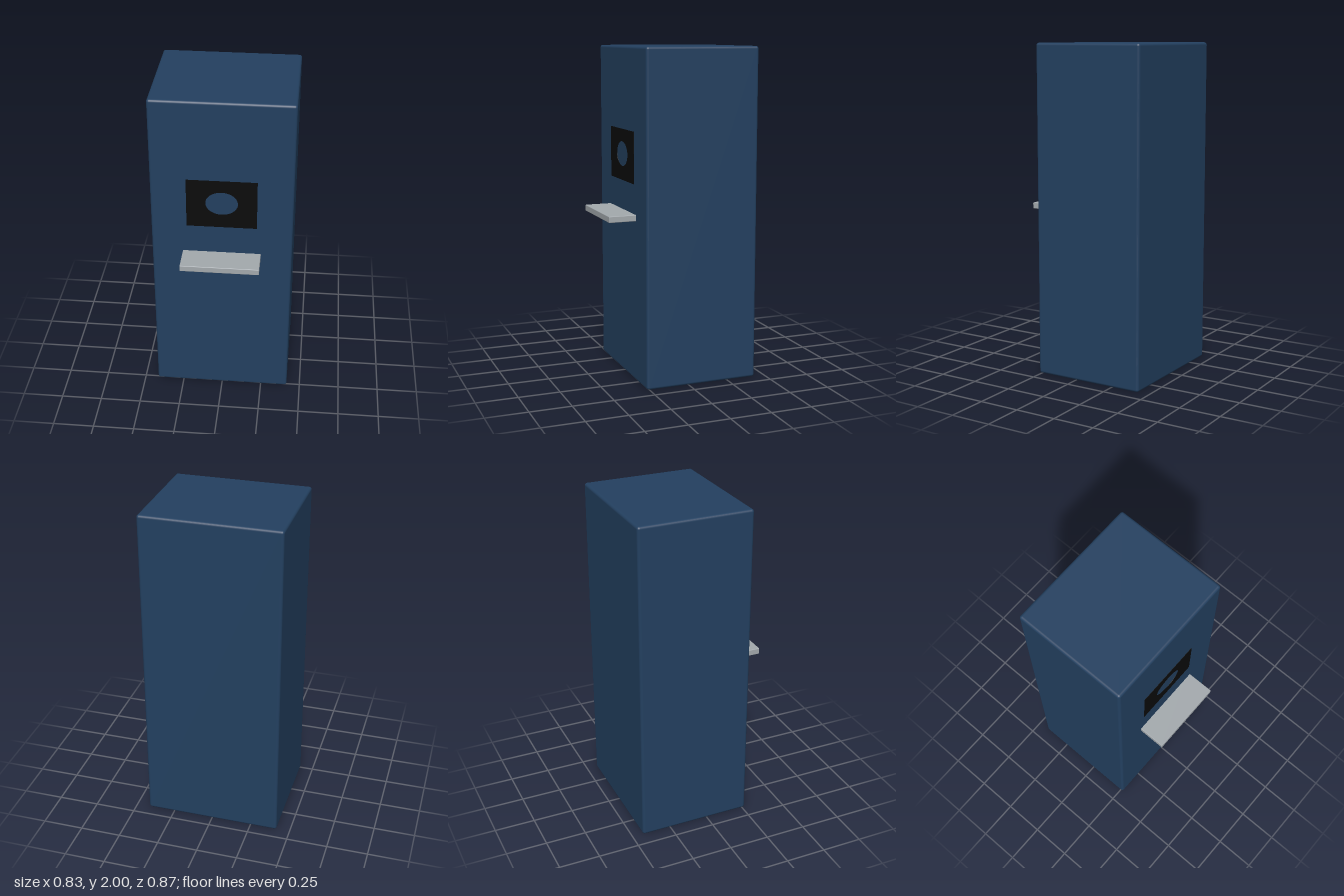
import * as THREE from 'three';
import { RoundedBoxGeometry } from 'three/addons/geometries/RoundedBoxGeometry.js';

function material(name, color) {
  const m = new THREE.MeshStandardMaterial({ color });
  m.name = name;
  return m;
}

export function createModel() {
  const group = new THREE.Group();
  group.name = 'kiosk';
  const navy = material('navy', 0x234060);
  const black = material('black', 0x0b0b0b);
  const grey = material('light grey', 0xa3a9ad);

  const add = (name, geometry, mat, x, y, z) => {
    const mesh = new THREE.Mesh(geometry, mat);
    mesh.name = name;
    mesh.position.set(x, y, z);
    group.add(mesh);
  };

  // Tall cabinet with softly rounded edges
  add('cabinet', new RoundedBoxGeometry(0.834, 2, 0.7, 4, 0.016), navy, 0, 1, -0.083);

  // Thin screen plate with an oval opening showing the cabinet
  const plate = new THREE.Shape();
  plate.moveTo(-0.207, -0.155);
  plate.lineTo(0.207, -0.155);
  plate.lineTo(0.207, 0.155);
  plate.lineTo(-0.207, 0.155);
  plate.closePath();
  const oval = new THREE.Path();
  oval.absellipse(0, 0.005, 0.095, 0.075, 0, Math.PI * 2, true);
  plate.holes.push(oval);
  add('screen', new THREE.ExtrudeGeometry(plate, { depth: 0.002, bevelEnabled: false, curveSegments: 32 }),
    black, 0, 1.352, 0.267);

  // Shelf below the screen, set slightly into the cabinet
  add('shelf', new RoundedBoxGeometry(0.466, 0.038, 0.183, 2, 0.004), grey, 0, 1, 0.3415);

  return group;
}
